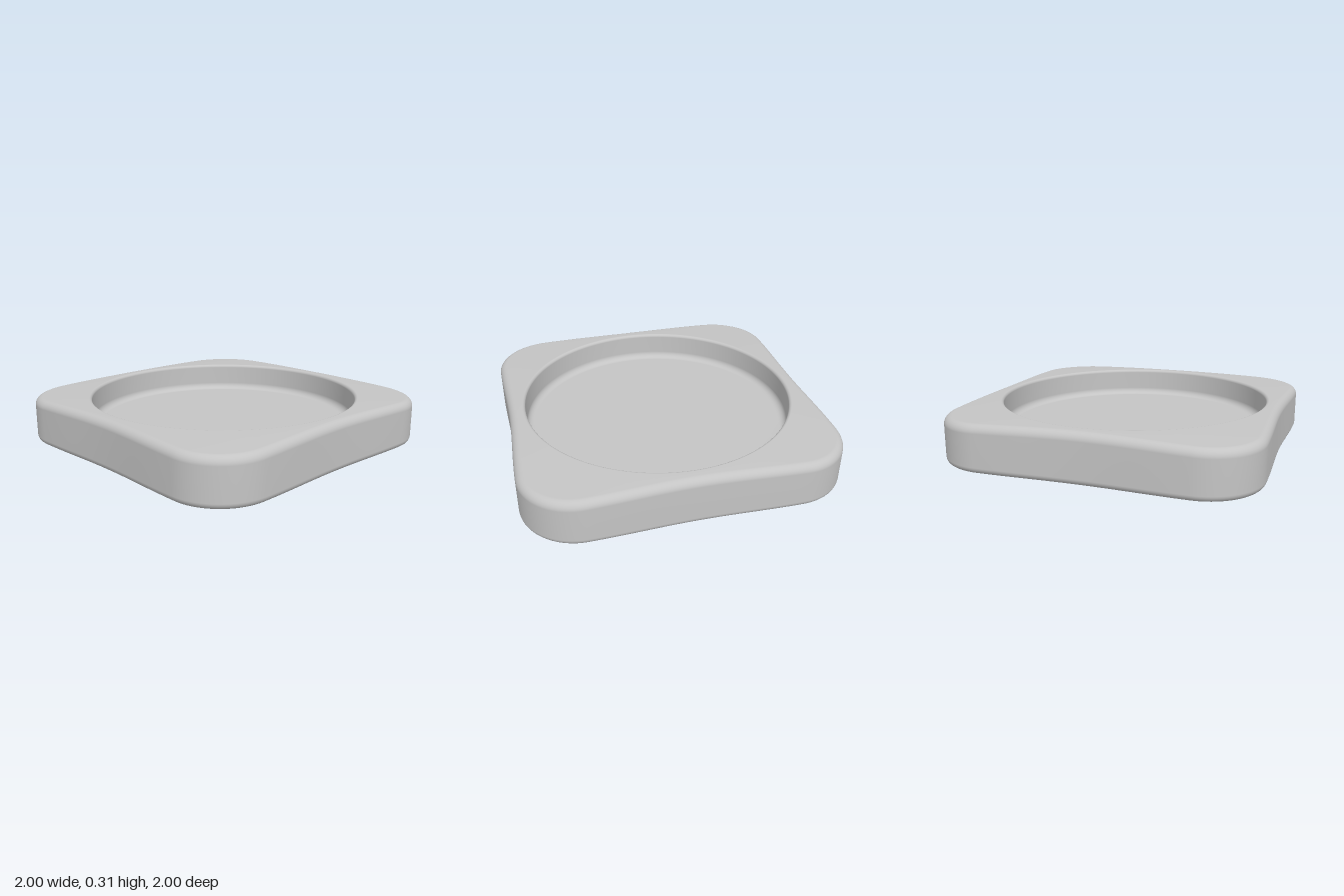
import * as THREE from 'three';

const TOP = 0.315, FLOOR = 0.125, RIM = 0.875;

// Quarter-repeated outline: gently pinched edges joined by round corners
function outline() {
  const R = 0.35, S = 1 - R, pts = [];
  for (let q = 0; q < 4; q++) {
    const side = [];
    for (let i = 0; i < 24; i++) {
      const z = -S + (2 * S * i) / 24;
      side.push([1 - 0.009 * (1 + Math.cos((Math.PI * z) / S)), z]);
    }
    for (let i = 0; i < 18; i++) {
      const a = (i / 18) * Math.PI / 2;
      side.push([S + R * Math.cos(a), S + R * Math.sin(a)]);
    }
    const c = Math.round(Math.cos(q * Math.PI / 2)), s = Math.round(Math.sin(q * Math.PI / 2));
    for (const [x, z] of side) pts.push(new THREE.Vector2(c * x - s * z, s * x + c * z));
  }
  return pts;
}

// Joins successive rings of equal length into one smooth skin
function loft(rings) {
  const n = rings[0].length, pos = [], idx = [];
  for (const ring of rings) for (const p of ring) pos.push(p.x, p.y, p.z);
  for (let i = 0; i < rings.length - 1; i++) {
    for (let j = 0; j < n; j++) {
      const k = (j + 1) % n, a = i * n + j, b = a + n, c = i * n + k, d = c + n;
      idx.push(a, b, c, b, d, c);
    }
  }
  const g = new THREE.BufferGeometry();
  g.setAttribute('position', new THREE.Float32BufferAttribute(pos, 3));
  g.setIndex(idx);
  g.computeVertexNormals();
  return g;
}

export function createModel() {
  const grey = new THREE.MeshStandardMaterial({ color: 0xc4c4c4 });
  grey.name = 'light grey';

  const pts = outline(), n = pts.length;
  const normals = pts.map((p, j) => {
    const t = pts[(j + 1) % n].clone().sub(pts[(j + n - 1) % n]).normalize();
    return new THREE.Vector2(t.y, -t.x);
  });
  // The top falls slightly from the rim toward the corners
  const topAt = (p) => TOP - 0.06 * Math.max(0, p.length() - 0.9);
  const outer = (inset, height) => pts.map((p, j) => {
    const v = p.clone().addScaledVector(normals[j], -inset);
    return new THREE.Vector3(v.x, height(v), v.y);
  });
  const circle = (r, y) => pts.map((p) => {
    const a = Math.atan2(p.y, p.x);
    return new THREE.Vector3(r * Math.cos(a), y, r * Math.sin(a));
  });
  const steps = 6, arc = (i) => (i / steps) * Math.PI / 2;
  const rings = [circle(0, 0), circle(0.85, 0)];

  // Bottom outer rounding
  for (let i = 0; i <= steps; i++) {
    const a = arc(i);
    rings.push(outer(0.04 * (1 - Math.sin(a)), () => 0.04 * (1 - Math.cos(a))));
  }
  // Top outer rounding
  for (let i = 0; i <= steps; i++) {
    const a = arc(i);
    rings.push(outer(0.05 * (1 - Math.cos(a)), (v) => topAt(v) - 0.05 * (1 - Math.sin(a))));
  }
  // Rim rounding of the recess
  for (let i = 0; i <= steps; i++) {
    const a = arc(i);
    rings.push(circle(RIM + 0.02 * (1 - Math.sin(a)), TOP - 0.02 * (1 - Math.cos(a))));
  }
  // Rounding between recess wall and floor
  for (let i = 0; i <= steps; i++) {
    const a = arc(i);
    rings.push(circle(RIM - 0.045 * (1 - Math.cos(a)), FLOOR + 0.045 * (1 - Math.sin(a))));
  }
  rings.push(circle(0.7, FLOOR), circle(0, FLOOR));

  const tray = new THREE.Mesh(loft(rings), grey);
  tray.name = 'recessedTray';
  const group = new THREE.Group();
  group.name = 'roundRecessTray';
  group.add(tray);
  return group;
}
